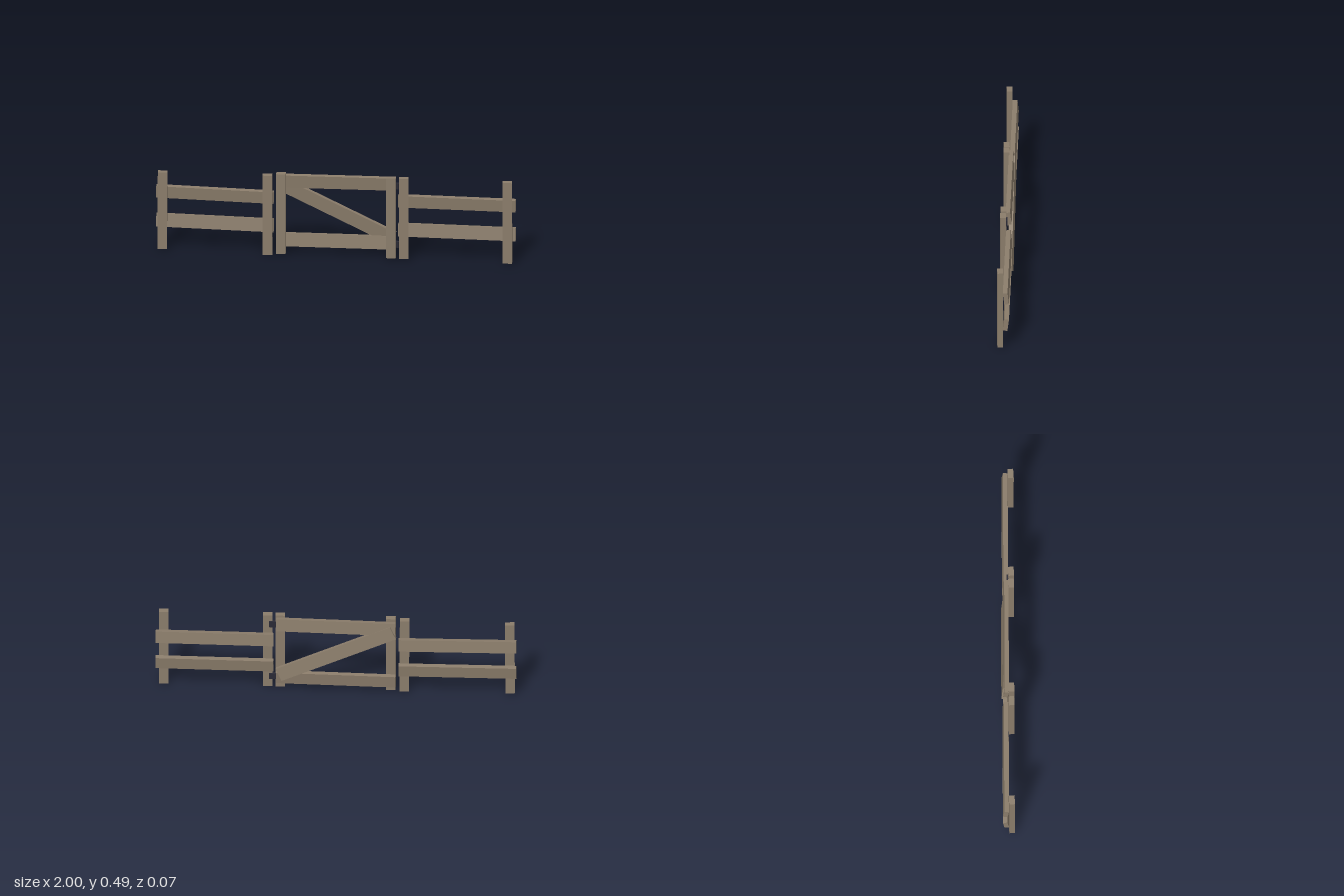
import * as THREE from 'three';

export function createModel() {
  const root = new THREE.Group();
  root.name = 'fenceWithGate';
  const wood = new THREE.MeshStandardMaterial({ color: 0x8b7d6b, flatShading: true });
  const iron = new THREE.MeshStandardMaterial({ color: 0x2a2a35, flatShading: true });

  function plank(parent, name, size, pos, rot = [0, 0, 0], material = wood) {
    const mesh = new THREE.Mesh(new THREE.BoxGeometry(...size), material);
    mesh.name = name;
    mesh.position.set(...pos);
    mesh.rotation.set(...rot);
    parent.add(mesh);
    return mesh;
  }
  function section(name) {
    const g = new THREE.Group();
    g.name = name;
    root.add(g);
    return g;
  }

  // Upright posts: x, bottom, top, lean, twist
  const post = (parent, name, x, y0, y1, lean, twist) =>
    plank(parent, name, [0.053, y1 - y0, 0.032], [x, (y0 + y1) / 2, 0.018], [0, twist, lean]);

  // Rails run between two points; tilt rolls the board about its length
  function rail(parent, name, [x0, y0], [x1, y1], z, width, thick, tilt) {
    const dx = x1 - x0, dy = y1 - y0;
    const mesh = plank(parent, name, [Math.hypot(dx, dy), width, thick], [(x0 + x1) / 2, (y0 + y1) / 2, z]);
    mesh.rotation.order = 'ZXY';
    mesh.rotation.set(tilt, 0, Math.atan2(dy, dx));
  }

  // Right-hand fence panel
  const right = section('rightFence');
  post(right, 'rightOuterPost', -0.963, 0.013, 0.471, -0.006, 0.06);
  post(right, 'rightInnerPost', -0.378, 0.002, 0.476, 0.003, 0.06);
  rail(right, 'rightUpperRail', [-1, 0.34], [-0.347, 0.329], -0.015, 0.072, 0.026, 0.11);
  rail(right, 'rightLowerRail', [-1, 0.168], [-0.347, 0.16], -0.015, 0.074, 0.026, -0.12);

  // Left-hand fence panel
  const left = section('leftFence');
  post(left, 'leftInnerPost', 0.38, 0.01, 0.488, 0, 0.06);
  post(left, 'leftOuterPost', 0.957, 0.005, 0.488, 0.003, 0.06);
  rail(left, 'leftUpperRail', [0.347, 0.337], [1, 0.335], -0.015, 0.072, 0.026, 0.11);
  rail(left, 'leftLowerRail', [0.347, 0.165], [1, 0.163], -0.015, 0.074, 0.026, -0.12);

  // Gate frame with a diagonal brace on the back
  const gate = section('gate');
  post(gate, 'gateLatchPost', -0.303, 0.01, 0.488, 0, 0.04);
  post(gate, 'gateHingePost', 0.31, 0.01, 0.488, 0, 0.04);
  rail(gate, 'gateTopRail', [-0.329, 0.432], [0.332, 0.439], -0.012, 0.076, 0.024, 0.11);
  rail(gate, 'gateBottomRail', [-0.329, 0.081], [0.332, 0.086], -0.012, 0.076, 0.024, -0.11);
  rail(gate, 'gateBrace', [-0.317, 0.416], [0.317, 0.11], -0.023, 0.08, 0.022, 0.11);

  // Hinges: a plate across both posts with a barrel in the gap
  for (const [name, y] of [['upperHinge', 0.432], ['lowerHinge', 0.082]]) {
    const hinge = new THREE.Group();
    hinge.name = name;
    plank(hinge, 'hingePlate', [0.05, 0.036, 0.008], [0.348, y, -0.003], [0, 0, 0], iron);
    const barrel = new THREE.Mesh(new THREE.CylinderGeometry(0.0085, 0.0085, 0.036, 8), iron);
    barrel.name = 'hingeBarrel';
    barrel.position.set(0.345, y, 0.004);
    hinge.add(barrel);
    gate.add(hinge);
  }
  return root;
}
